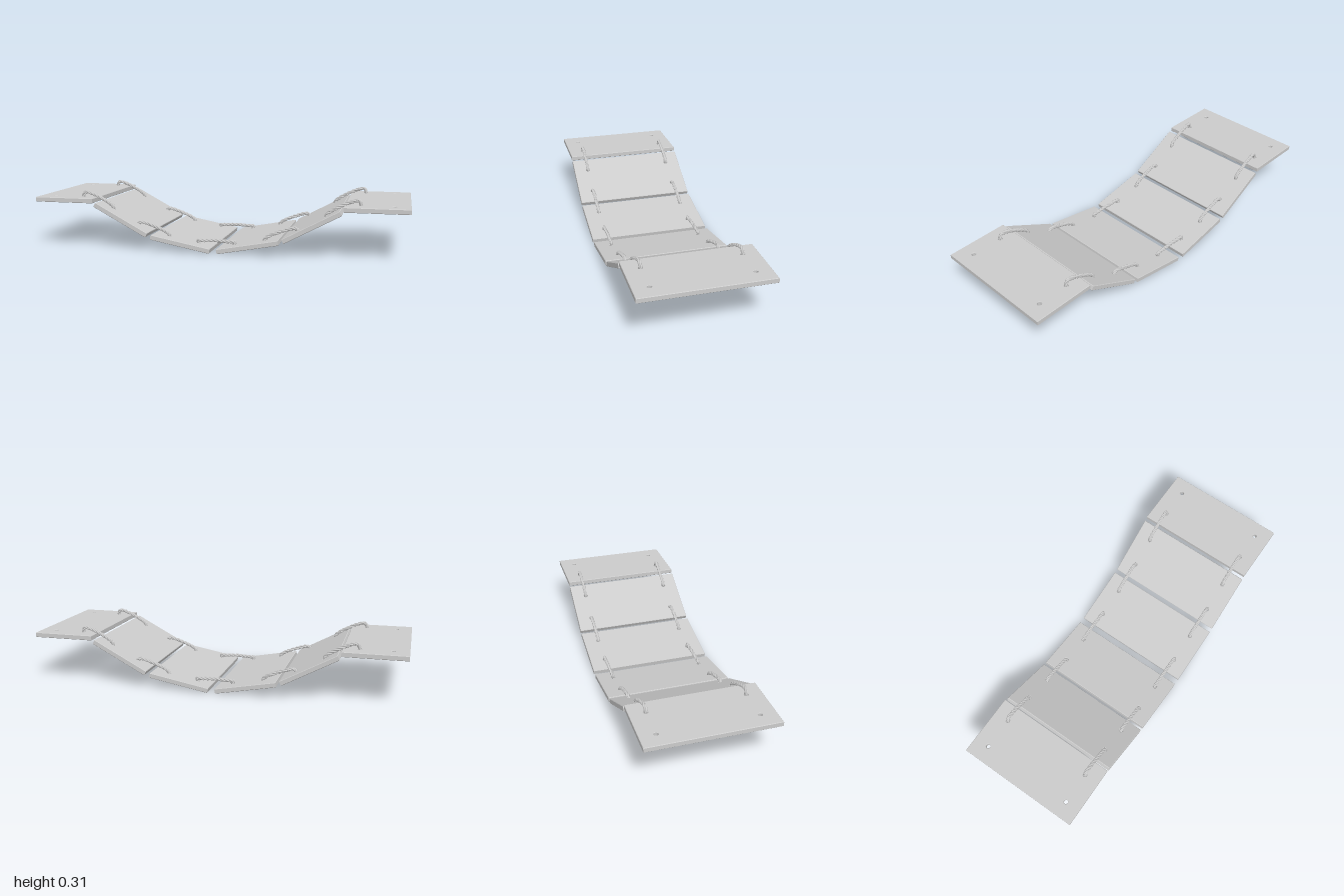
import * as THREE from 'three';

const THICK = 0.026, LENGTH = 0.33, DEPTH = 0.664, HOLE_U = 0.083, HOLE_Z = 0.25;

// Planks of the right half, from the middle outwards: centre and tilt
const PLANKS = [
  { name: 'innerPlank', x: 0.181, y: 0.045, tilt: 0.185 },
  { name: 'middlePlank', x: 0.512, y: 0.162, tilt: 0.489 },
  { name: 'outerPlank', x: 0.835, y: 0.259, tilt: 0 },
];

// Point on a plank: u along its length, v above its mid-plane
function onPlank(p, u, v) {
  const c = Math.cos(p.tilt), s = Math.sin(p.tilt);
  return [p.x + u * c - v * s, p.y + u * s + v * c];
}

// Board with four rope holes and finely bevelled edges
function plankGeometry() {
  const w = LENGTH / 2, d = DEPTH / 2, bevel = 0.0025;
  const shape = new THREE.Shape();
  shape.moveTo(-w, -d).lineTo(w, -d).lineTo(w, d).lineTo(-w, d).closePath();
  for (const u of [-HOLE_U, HOLE_U]) {
    for (const z of [-HOLE_Z, HOLE_Z]) {
      shape.holes.push(new THREE.Path().absarc(u, z, 0.011, 0, Math.PI * 2, true));
    }
  }
  const geometry = new THREE.ExtrudeGeometry(shape, {
    depth: THICK - 2 * bevel, curveSegments: 10,
    bevelEnabled: true, bevelSegments: 1, bevelSize: bevel, bevelThickness: bevel, bevelOffset: -bevel,
  });
  geometry.translate(0, 0, bevel - THICK / 2);
  return geometry.rotateX(-Math.PI / 2);
}

// One strand winding round a planar centre line
class StrandCurve extends THREE.Curve {
  constructor(core, phase) {
    super();
    this.core = core;
    this.phase = phase;
    this.turns = core.getLength() / 0.075;
  }
  getPoint(t, target = new THREE.Vector3()) {
    const p = this.core.getPointAt(t), d = this.core.getTangentAt(t);
    const angle = this.phase + t * this.turns * Math.PI * 2;
    const a = 0.0048 * Math.cos(angle), b = 0.0048 * Math.sin(angle);
    return target.set(p.x - d.y * a, p.y + d.x * a, p.z + b);
  }
}

function makeRope(points, z, material) {
  const rope = new THREE.Group();
  rope.name = 'rope';
  const core = new THREE.CatmullRomCurve3(points.map(([x, y]) => new THREE.Vector3(x, y, z)), false, 'centripetal');
  for (let i = 0; i < 3; i++) {
    const curve = new StrandCurve(core, (i * Math.PI * 2) / 3);
    const strand = new THREE.Mesh(new THREE.TubeGeometry(curve, 72, 0.0052, 8), material);
    strand.name = 'ropeStrand';
    rope.add(strand);
  }
  return rope;
}

export function createModel() {
  const model = new THREE.Group();
  model.name = 'ropeBridge';
  const material = new THREE.MeshStandardMaterial({ color: 0xcccccc, side: THREE.DoubleSide });
  const board = plankGeometry();

  // Planks, mirrored left and right
  for (const side of [-1, 1]) {
    for (const p of PLANKS) {
      const plank = new THREE.Mesh(board, material);
      plank.name = p.name;
      plank.position.set(side * p.x, p.y, 0);
      plank.rotation.z = side * p.tilt;
      model.add(plank);
    }
  }

  // Rope paths: out of one hole, over the gap and into the next
  const [inner, middle, outer] = PLANKS;
  const lower = [
    onPlank(inner, HOLE_U, -0.01), onPlank(inner, HOLE_U, 0.014), onPlank(inner, HOLE_U + 0.015, 0.027),
    [0.345, 0.122],
    onPlank(middle, -HOLE_U - 0.008, 0.026), onPlank(middle, -HOLE_U, 0.014), onPlank(middle, -HOLE_U, -0.01),
  ];
  const upper = [
    onPlank(middle, HOLE_U, -0.01), onPlank(middle, HOLE_U, 0.014), onPlank(middle, HOLE_U + 0.015, 0.023),
    [0.67, 0.276], [0.72, 0.295], [0.742, 0.297], [0.752, 0.281], onPlank(outer, -HOLE_U, -0.01),
  ];
  const half = [
    onPlank(inner, -HOLE_U, -0.01), onPlank(inner, -HOLE_U, 0.014), onPlank(inner, -HOLE_U + 0.006, 0.023),
    [0.06, 0.056],
  ];
  const mirror = ([x, y]) => [-x, y];
  const centre = [...half, [0, 0.059], ...half.map(mirror).reverse()];

  for (const z of [-HOLE_Z, HOLE_Z]) {
    model.add(makeRope(centre, z, material));
    for (const path of [lower, upper]) {
      model.add(makeRope(path, z, material), makeRope(path.map(mirror), z, material));
    }
  }
  return model;
}
